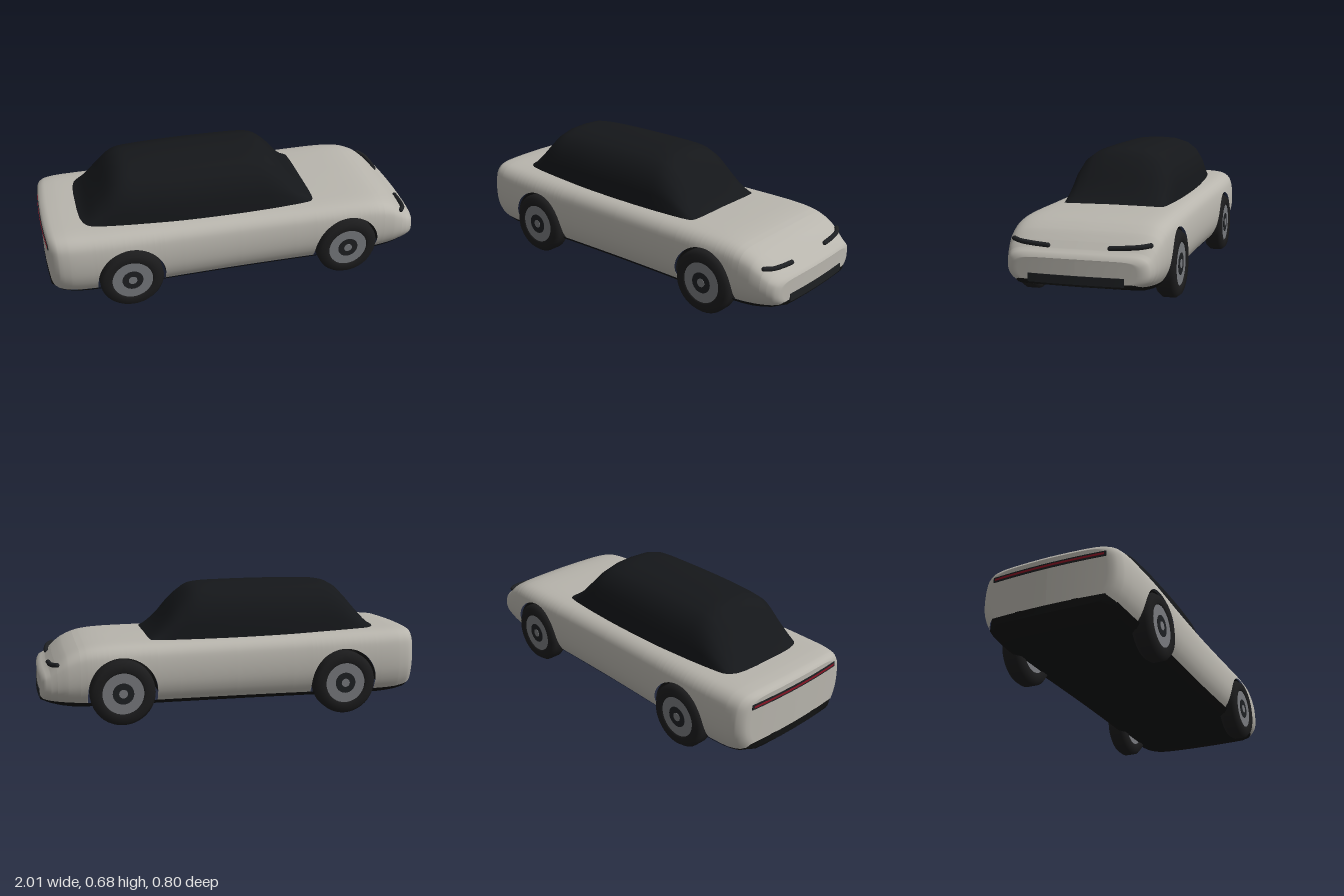
import * as THREE from 'three';

const mat = (color, side = THREE.FrontSide) =>
  new THREE.MeshStandardMaterial({ color, roughness: 0.7, side });
const paint = mat(0xb8b5ad), glass = mat(0x15171a), rubber = mat(0x1c1c1d), alloy = mat(0x77797d);
const trim = mat(0x1e2023), black = mat(0x111212), liner = mat(0x141414, THREE.DoubleSide), red = mat(0x8a1424);

function add(parent, name, geometry, material) {
  const mesh = new THREE.Mesh(geometry, material);
  mesh.name = name;
  parent.add(mesh);
  return mesh;
}

// Smooth value lookup in rows of [x, a, b, ...]
function lookup(rows, x) {
  let i = 0;
  while (i < rows.length - 2 && x > rows[i + 1][0]) i++;
  const slope = (k, c) => {
    const p = rows[Math.max(k - 1, 0)], q = rows[Math.min(k + 1, rows.length - 1)];
    return (q[c] - p[c]) / (q[0] - p[0]);
  };
  const h = rows[i + 1][0] - rows[i][0], t = (x - rows[i][0]) / h, u = 1 - t;
  return rows[i].slice(1).map((v, k) =>
    v * (1 + 2 * t) * u * u + rows[i + 1][k + 1] * t * t * (3 - 2 * t) +
    h * t * u * (u * slope(i, k + 1) - t * slope(i + 1, k + 1)));
}

// Skin over equal-length rings of [x, y, z]
function loft(rings) {
  const n = rings[0].length, index = [];
  for (let i = 0; i < rings.length - 1; i++) {
    for (let j = 0; j < n - 1; j++) {
      const a = i * n + j, c = a + n;
      index.push(a, a + 1, c, a + 1, c + 1, c);
    }
  }
  const g = new THREE.BufferGeometry();
  g.setAttribute('position', new THREE.Float32BufferAttribute(rings.flat(2), 3));
  g.setIndex(index);
  g.computeVertexNormals();
  return g;
}

// Nose and tail bow gently when seen from above
const bow = (x, z) => x - Math.sign(x) * 0.15 * z * z * Math.max(0, (Math.abs(x) - 0.7) / 0.3);

// Body stations: x, half width, top, sill height
const BODY = [
  [-1, 0.33, 0.41, 0.165], [-0.99, 0.352, 0.424, 0.148], [-0.96, 0.372, 0.432, 0.134],
  [-0.9, 0.384, 0.436, 0.122], [-0.8, 0.39, 0.435, 0.117], [-0.6, 0.394, 0.432, 0.115],
  [-0.3, 0.388, 0.424, 0.115], [0, 0.385, 0.418, 0.115], [0.3, 0.388, 0.414, 0.115],
  [0.6, 0.394, 0.41, 0.115], [0.72, 0.392, 0.403, 0.116], [0.8, 0.386, 0.388, 0.118],
  [0.87, 0.377, 0.357, 0.122], [0.92, 0.364, 0.318, 0.126], [0.955, 0.352, 0.285, 0.13],
  [0.975, 0.343, 0.273, 0.134], [0.99, 0.333, 0.267, 0.138], [1, 0.31, 0.25, 0.145],
];
// Half section from roof centre to sill: width fraction, height fraction
const SECTION = new THREE.SplineCurve([
  [0, 1], [0.5, 0.993], [0.74, 0.978], [0.87, 0.935], [0.95, 0.84],
  [0.985, 0.7], [1, 0.5], [0.99, 0.3], [0.95, 0.13], [0.89, 0],
].map(p => new THREE.Vector2(...p)));
const AXLES = [-0.585, 0.585], AXLE_Y = 0.167, ARCH = 0.178;

function bodyRing(x, scale = 1) {
  const [w, top, bot] = lookup(BODY, x);
  // Sill lifts over the wheels to leave an open arch
  let low = bot;
  for (const c of AXLES) {
    const d = Math.abs(x - c);
    if (d <= ARCH) low = Math.max(low, AXLE_Y + Math.sqrt(ARCH * ARCH - d * d));
  }
  const cut = (low - bot) / (top - bot);
  let a = 0, b = 1;
  for (let k = 0; k < 24; k++) {
    const m = (a + b) / 2;
    if (SECTION.getPoint(m).y > cut) a = m; else b = m;
  }
  const ring = [], n = 28;
  for (let j = -n; j <= n; j++) {
    const p = SECTION.getPoint(Math.min(Math.abs(j) / n, b));
    const z = Math.sign(j) * p.x * w * scale;
    ring.push([bow(x, z), bot + p.y * (top - bot), z]);
  }
  return ring;
}

function bodyGeometry() {
  const xs = BODY.map(r => r[0]);
  for (let x = -0.97; x < 0.98; x += 0.03) xs.push(x);
  for (const c of AXLES) {
    for (let k = 0; k <= 24; k++) xs.push(c - ARCH * 0.9999 * Math.cos(k / 24 * Math.PI));
    xs.push(c - ARCH - 0.0005, c + ARCH + 0.0005);
  }
  xs.sort((p, q) => p - q);
  const caps = [0, 0.33, 0.67, 0.92];
  return loft([...caps.map(s => bodyRing(-1, s)), ...xs.map(x => bodyRing(x)),
    ...caps.slice().reverse().map(s => bodyRing(1, s))]);
}

// Dark floor pan below the sills
function floorGeometry() {
  const half = [[0, 0], [0.6, 0], [0.8, 0.03], [0.85, 0.25], [0.9, 1.05]];
  const full = [...half.slice(1).reverse().map(([w, t]) => [-w, t]), ...half];
  const ring = (x, s = 1) => {
    const [w, , bot] = lookup(BODY, x);
    const low = 0.09 + 0.035 * Math.max(0, (Math.abs(x) - 0.78) / 0.22) ** 2;
    return full.map(([f, t]) => {
      const z = -f * w * s;
      return [bow(x, z), low + t * (bot - low), z];
    });
  };
  const rings = [ring(-1, 0), ring(-1, 0.5)];
  for (let k = 0; k <= 40; k++) rings.push(ring(-1 + k / 20));
  return loft([...rings, ring(1, 0.5), ring(1, 0)]);
}

// Glasshouse stations: x, half width, roof height
const CABIN = [
  [-0.82, 0.257, 0.432], [-0.78, 0.261, 0.455], [-0.7, 0.268, 0.545], [-0.63, 0.274, 0.63],
  [-0.58, 0.278, 0.665], [-0.52, 0.282, 0.676], [-0.3, 0.291, 0.681], [0, 0.29, 0.679],
  [0.14, 0.286, 0.672], [0.2, 0.284, 0.652], [0.27, 0.28, 0.588], [0.34, 0.276, 0.5],
  [0.39, 0.273, 0.445], [0.43, 0.271, 0.412],
];
function cabinGeometry() {
  const half = [[0, 1], [0.33, 0.98], [0.6, 0.9], [0.78, 0.76], [0.9, 0.55], [0.96, 0.33], [1, 0]];
  const full = [...half.slice(1).reverse().map(([w, t]) => [-w, t]), ...half];
  const rings = [];
  for (let k = 0; k <= 60; k++) {
    const x = -0.82 + 1.25 * k / 60, [w, top] = lookup(CABIN, x);
    rings.push(full.map(([f, t]) => [x, 0.4 + t * (top - 0.4), f * w]));
  }
  return loft(rings);
}

// Thin bar that follows the bow of the nose or tail
function bowedBar(x, y, height, width, depth) {
  const g = new THREE.BoxGeometry(depth, height, width, 1, 1, 16), p = g.attributes.position;
  for (let i = 0; i < p.count; i++) p.setX(i, bow(x, p.getZ(i)) + p.getX(i));
  g.translate(0, y, 0);
  g.computeVertexNormals();
  return g;
}

function makeWheel() {
  const wheel = new THREE.Group();
  const profile = [[0.105, -0.044], [0.112, -0.05], [0.148, -0.05], [0.165, -0.028],
    [0.165, 0.028], [0.148, 0.05], [0.112, 0.05], [0.105, 0.044]];
  const tyre = new THREE.LatheGeometry(profile.map(p => new THREE.Vector2(...p)), 40);
  add(wheel, 'tyre', tyre.rotateX(Math.PI / 2), rubber);
  const disc = (name, r, depth, m) =>
    add(wheel, name, new THREE.CylinderGeometry(r, r, depth, 32).rotateX(Math.PI / 2), m);
  disc('rim', 0.107, 0.088, alloy);
  disc('hubRing', 0.054, 0.092, trim);
  disc('hubCap', 0.022, 0.096, alloy);
  return wheel;
}

export function createModel() {
  const car = new THREE.Group();
  car.name = 'car';
  add(car, 'body', bodyGeometry(), paint);
  add(car, 'floorPan', floorGeometry(), black);
  add(car, 'cabin', cabinGeometry(), glass);

  // Wheels and arch liners
  for (const x of AXLES) for (const side of [-1, 1]) {
    const wheel = makeWheel();
    wheel.name = (x > 0 ? 'front' : 'rear') + 'Wheel';
    wheel.position.set(x, 0.165, side * 0.35);
    car.add(wheel);
    const arch = new THREE.CylinderGeometry(ARCH, ARCH, 0.172, 32, 1, true, Math.PI / 2, Math.PI);
    add(car, 'archLiner', arch.rotateX(Math.PI / 2), liner).position.set(x, AXLE_Y, side * 0.286);
    const back = new THREE.CircleGeometry(ARCH, 32, 0, Math.PI);
    add(car, 'archWall', back, liner).position.set(x, AXLE_Y, side * 0.2);
  }

  // Slim headlights wrapping the nose corners
  for (const side of [-1, 1]) {
    const path = new THREE.CatmullRomCurve3([[0.943, 0.297, 0.15], [0.94, 0.302, 0.22],
      [0.929, 0.308, 0.29], [0.905, 0.313, 0.33]].map(([x, y, z]) => new THREE.Vector3(x, y, z * side)));
    add(car, 'headlight', new THREE.TubeGeometry(path, 16, 0.012, 8), trim);
    for (const t of [0, 1]) {
      add(car, 'headlightEnd', new THREE.SphereGeometry(0.012, 10, 8), trim).position.copy(path.getPoint(t));
    }
  }

  // Front intake and full-width tail light
  add(car, 'intake', bowedBar(1, 0.154, 0.04, 0.46, 0.008), trim);
  add(car, 'tailLightFrame', bowedBar(-1, 0.37, 0.026, 0.6, 0.008), trim);
  add(car, 'tailLight', bowedBar(-1, 0.37, 0.01, 0.58, 0.012), red);
  return car;
}
